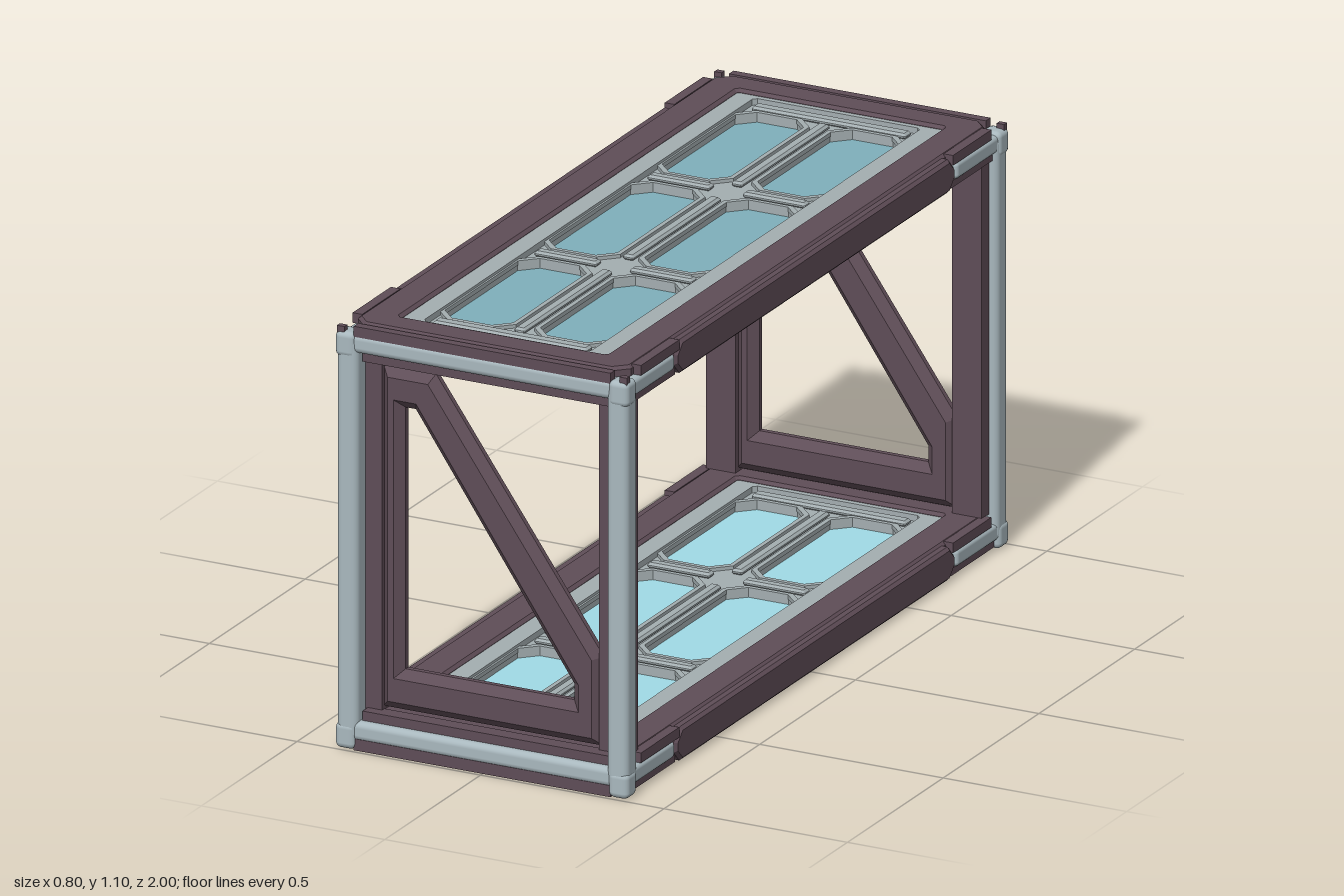
import * as THREE from 'three';
import { RoundedBoxGeometry } from 'three/addons/geometries/RoundedBoxGeometry.js';

const mat = (color, extra = {}) => new THREE.MeshStandardMaterial({ color, ...extra });
const dark = mat(0x5f4d57, { flatShading: true });
const metal = mat(0xa9b8be);
const plate = mat(0xa4aeb1, { flatShading: true });
const backing = mat(0x8fada8, { flatShading: true });
const glass = mat(0x7fb0bb, { flatShading: true });
const paleGlass = mat(0xa0dbe6, { flatShading: true });
const lightGlass = mat(0xc8faff, { flatShading: true });

export function createModel() {
  const model = new THREE.Group();

  const add = (parent, name, geometry, material, x = 0, y = 0, z = 0) => {
    const mesh = new THREE.Mesh(geometry, material);
    mesh.name = name;
    mesh.position.set(x, y, z);
    parent.add(mesh);
    return mesh;
  };
  const box = (p, name, m, w, h, d, x, y, z) => add(p, name, new THREE.BoxGeometry(w, h, d), m, x, y, z);
  const rounded = (p, name, m, w, h, d, r, x, y, z) =>
    add(p, name, new RoundedBoxGeometry(w, h, d, 2, r), m, x, y, z);

  // Corner points of a rectangle with cut corners, in plan (x, z)
  const cutRect = (cx, cz, hw, hd, c) => [
    [-hw + c, -hd], [hw - c, -hd], [hw, -hd + c], [hw, hd - c],
    [hw - c, hd], [-hw + c, hd], [-hw, hd - c], [-hw, -hd + c],
  ].map(([x, z]) => new THREE.Vector2(cx + x, cz + z));

  // Extrusion with holes, bevelled inside its outline; flat ones lie down along y
  const extrude = (outline, holes, depth, bevel = 0, flat = true) => {
    const shape = new THREE.Shape(outline);
    shape.holes = holes.map((h) => new THREE.Path(h));
    const g = new THREE.ExtrudeGeometry(shape, {
      depth: depth - 2 * bevel, bevelEnabled: bevel > 0, bevelThickness: bevel,
      bevelSize: bevel, bevelOffset: -bevel, bevelSegments: 1,
    });
    g.translate(0, 0, bevel);
    if (flat) g.rotateX(-Math.PI / 2);
    return g;
  };

  const windows = [];
  for (const x of [-0.13, 0.13])
    for (const [z, half] of [[-0.567, 0.232], [0, 0.255], [0.567, 0.232]]) windows.push([x, z, half]);

  // Raised bars between the windows, interrupted at the crossings
  function addRibs(parent, y) {
    const rib = (name, x, z, hw, hd) =>
      add(parent, name, extrude(cutRect(x, z, hw, hd, 0.004), [], 0.016, 0.006), plate, 0, y - 0.008, 0);
    for (const [z, half] of [[-0.567, 0.23], [0, 0.23], [0.567, 0.23]]) rib('centreRib', 0, z, 0.015, half);
    for (const sz of [-1, 1]) {
      rib('endRib', 0, sz * 0.832, 0.21, 0.017);
      for (const sx of [-1, 1]) rib('crossRib', sx * 0.13, sz * 0.295, 0.085, 0.015);
    }
  }

  // Floor and roof slab: bevelled frame around a six-window panel
  function addSlab(name, y, isRoof) {
    const slab = new THREE.Group();
    slab.name = name;
    slab.position.y = y;
    add(slab, 'slabFrame', extrude(cutRect(0, 0, 0.372, 0.962, 0.035),
      [cutRect(0, 0, 0.28, 0.88, 0.005)], 0.097, 0.008), dark);

    const holes = windows.map(([x, z, h]) => cutRect(x, z, 0.095, h, 0.04));
    const panel = cutRect(0, 0, 0.283, 0.883, 0.005);
    add(slab, 'panelPlate', extrude(panel, holes, 0.027), plate, 0, 0.045, 0);
    add(slab, 'panelBorder', extrude(panel, [cutRect(0, 0, 0.228, 0.865, 0.01)], 0.016), plate, 0, 0.072, 0);
    for (const [x, z, h] of windows) {
      add(slab, 'windowPane', extrude(cutRect(x, z, 0.096, h + 0.001, 0.04), [], 0.016),
        isRoof ? glass : paleGlass, 0, 0.039, 0);
      add(slab, 'windowRim', extrude(cutRect(x, z, 0.105, h + 0.01, 0.043),
        [cutRect(x, z, 0.093, h - 0.002, 0.039)], 0.011), plate, 0, 0.07, 0);
    }
    addRibs(slab, 0.078);

    // Underside: smooth ceiling with smaller windows, or a ribbed panel
    if (isRoof) {
      const small = windows.map(([x, z, h]) => cutRect(x, z, 0.078, h - 0.015, 0.035));
      add(slab, 'ceiling', extrude(panel, small, 0.012), backing, 0, 0.03, 0);
      for (const s of small) add(slab, 'ceilingWindow', extrude(s, [], 0.008), lightGlass, 0, 0.032, 0);
    } else {
      add(slab, 'panelBacking', extrude(panel, holes, 0.018), backing, 0, 0.027, 0);
      addRibs(slab, 0.023);
    }

    // Side rails with tapered ends, and metal brackets at the corners
    for (const sx of [-1, 1]) {
      const rail = extrude(cutRect(0, 0, 0.73, 0.043, 0.03), [], 0.05, 0.008, false);
      rail.translate(0, 0, -0.025).rotateY(Math.PI / 2);
      add(slab, 'sideRail', rail, dark, sx * 0.368, 0.048, 0);
      for (const sz of [-1, 1]) {
        rounded(slab, 'sideBracket', metal, 0.035, 0.045, 0.25, 0.012, sx * 0.376, 0.048, sz * 0.86);
        box(slab, 'cornerLip', dark, 0.026, 0.026, 0.2, sx * 0.38, 0.084, sz * 0.815);
        box(slab, 'lowerLip', dark, 0.02, 0.018, 0.23, sx * 0.374, 0.017, sz * 0.835);
      }
    }
    model.add(slab);
  }
  addSlab('floorSlab', 0, false);
  addSlab('roofSlab', 1, true);

  // End frames with posts, cross bars and a triangular brace
  const v = (pts) => pts.map(([x, y]) => new THREE.Vector2(x, y));
  const braceOuter = v([[-0.3, 0.105], [0.3, 0.105], [0.3, 0.335], [-0.157, 0.985], [-0.3, 0.985]]);
  const braceInner = v([[-0.24, 0.21], [0.22, 0.21], [0.22, 0.252], [-0.212, 0.885], [-0.24, 0.885]]);
  for (const sz of [-1, 1]) {
    const end = new THREE.Group();
    end.name = sz > 0 ? 'frontEnd' : 'backEnd';
    for (const sx of [-1, 1]) {
      rounded(end, 'cornerPost', metal, 0.058, 1.04, 0.062, 0.018, sx * 0.368, 0.545, sz * 0.967);
      box(end, 'innerPost', dark, 0.045, 0.91, 0.05, sx * 0.318, 0.55, sz * 0.922);
      box(end, 'sidePostStrip', dark, 0.035, 0.91, 0.042, sx * 0.358, 0.55, sz * 0.918);
      for (const y of [0.035, 1.045])
        rounded(end, 'cornerCap', metal, 0.055, 0.066, 0.055, 0.015, sx * 0.3725, y, sz * 0.9725);
      box(end, 'cornerTab', dark, 0.02, 0.03, 0.016, sx * 0.385, 1.075, sz * 0.985);
    }
    for (const [y, stripY, lipY] of [[0.05, 0.016, 0.085], [1.05, 1.08, 1.015]]) {
      rounded(end, 'crossBar', metal, 0.72, 0.05, 0.05, 0.016, 0, y, sz * 0.97);
      box(end, 'crossBarStrip', dark, 0.7, 0.03, 0.024, 0, stripY, sz * 0.98);
      box(end, 'crossBarLip', dark, 0.67, 0.028, 0.04, 0, lipY, sz * 0.955);
    }
    const brace = extrude(braceOuter, [braceInner], 0.058, 0.022, false);
    brace.translate(0, 0, -0.029);
    add(end, 'diagonalBrace', brace, dark, 0, 0, sz * 0.924);
    model.add(end);
  }
  return model;
}
